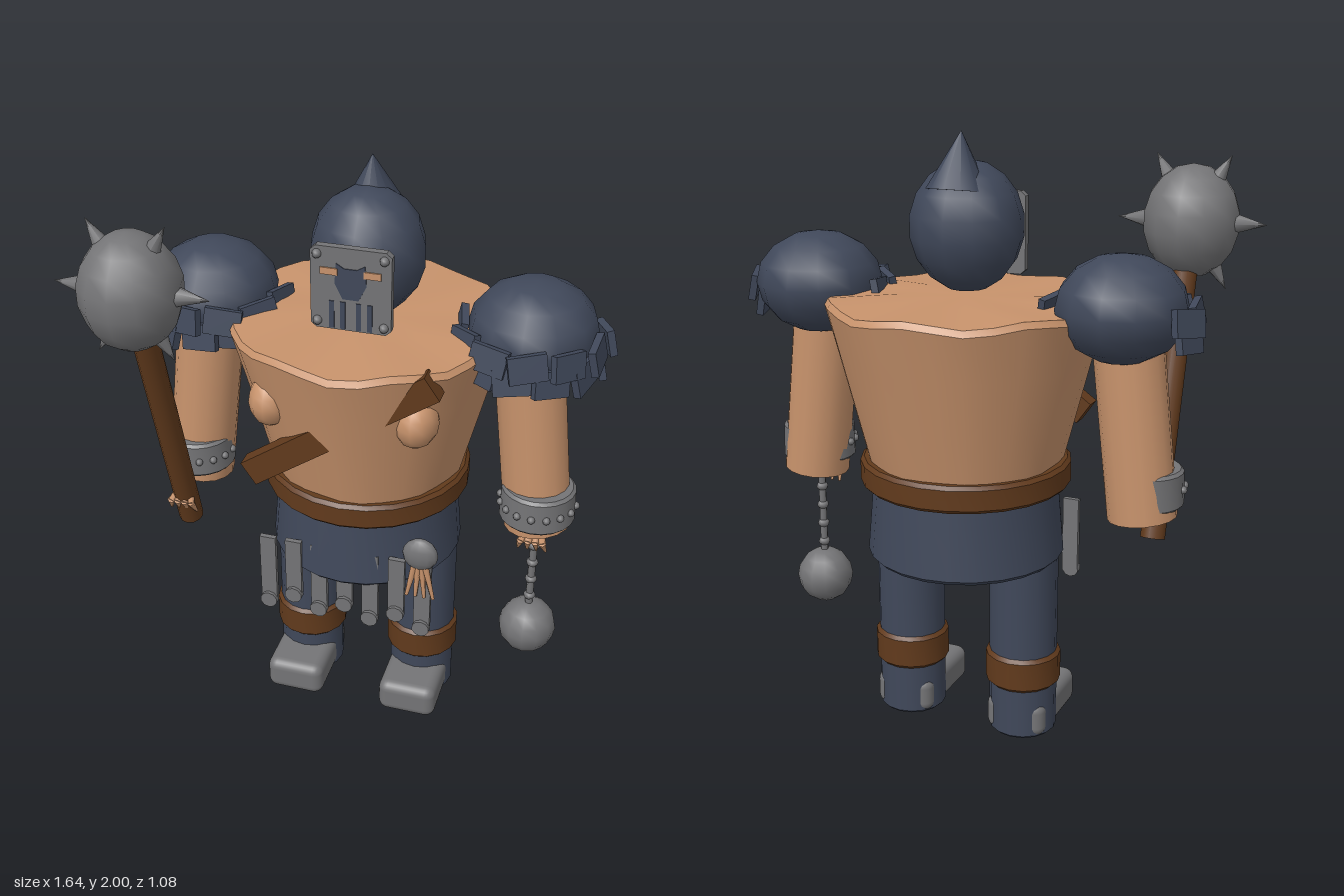
import * as THREE from 'three';
import { toCreasedNormals } from 'three/addons/utils/BufferGeometryUtils.js';
import { RoundedBoxGeometry } from 'three/addons/geometries/RoundedBoxGeometry.js';

const CX = 0.037, CZ = -0.087; // body axis
const mat = (name, color) => {
  const m = new THREE.MeshStandardMaterial({ color });
  m.name = name;
  return m;
};

export function createModel() {
  const skin = mat('skin', 0xc8936c), navy = mat('navy cloth', 0x40485a);
  const steel = mat('steel', 0x747476), leather = mat('leather', 0x613a1c);
  const model = new THREE.Group();
  model.name = 'armouredBrute';

  const add = (name, geo, material, x = 0, y = 0, z = 0, parent = model) => {
    const m = new THREE.Mesh(geo, material);
    m.name = name;
    m.position.set(x, y, z);
    parent.add(m);
    return m;
  };
  const ball = (rx, ry, rz, w = 12, h = 8) => new THREE.SphereGeometry(1, w, h).scale(rx, ry, rz);
  // Tapered rod between two points
  const rod = (name, a, b, r0, r1, material, sides = 12) => {
    const p = new THREE.Vector3(...a), d = new THREE.Vector3(...b).sub(p);
    const m = add(name, new THREE.CylinderGeometry(r1, r0, d.length(), sides), material);
    m.position.copy(p).addScaledVector(d, 0.5);
    m.quaternion.setFromUnitVectors(new THREE.Vector3(0, 1, 0), d.normalize());
    return m;
  };
  // Turned drum with softened edges
  const drum = (r0, r1, h, b, sides = 24) => toCreasedNormals(new THREE.LatheGeometry([
    [0, -h / 2], [r0 - b, -h / 2], [r0, -h / 2 + b], [r1, h / 2 - b], [r1 - b, h / 2], [0, h / 2],
  ].map(p => new THREE.Vector2(...p)), sides), 0.6);

  // Torso: widening trunk with muscular ripples and an uneven rim
  const trunk = new THREE.LatheGeometry([
    [0, 0.92], [0.31, 0.92], [0.355, 1.1], [0.405, 1.3], [0.447, 1.46], [0.435, 1.48], [0.2, 1.485], [0, 1.485],
  ].map(p => new THREE.Vector2(...p)), 30);
  const tp = trunk.attributes.position;
  for (let i = 0; i < tp.count; i++) {
    const x = tp.getX(i), y = tp.getY(i), z = tp.getZ(i), r = Math.hypot(x, z);
    if (r < 0.3) continue;
    const a = Math.atan2(z, x);
    const k = 1 + 0.012 * Math.sin(a * 9 + 1) + 0.01 * Math.cos(a * 5);
    tp.setXYZ(i, x * k, y + (y > 1.4 ? 0.009 * Math.sin(a * 7) : 0), z * k);
  }
  trunk.computeVertexNormals();
  add('torso', toCreasedNormals(trunk, 0.7), skin, CX, 0, CZ);
  for (const s of [-1, 1]) add('chestMuscle', ball(0.072, 0.088, 0.088), skin, CX + s * 0.235, 1.285, 0.2);
  add('chestStrap', new THREE.BoxGeometry(0.72, 0.087, 0.06), leather, 0.04, 1.245, 0.255).rotation.z = 0.605;

  // Belt and hips
  add('belt', drum(0.347, 0.347, 0.09, 0.012), leather, CX, 0.914, CZ);
  add('hips', drum(0.327, 0.305, 0.28, 0.015), navy, CX, 0.76, CZ);

  // Legs, knee bands and boots
  for (const s of [-1, 1]) {
    const x = CX + s * 0.21;
    add('leg', drum(0.114, 0.114, 0.66, 0.01, 16), navy, x, 0.335, CZ);
    add('kneeBand', drum(0.126, 0.126, 0.125, 0.015, 16), leather, x, 0.24, CZ);
    add('boot', new RoundedBoxGeometry(0.207, 0.125, 0.325, 3, 0.035), steel, x, 0.068, -0.012);
  }

  // Hanging skirt plates with round lower ends
  for (let i = 0; i < 7; i++) {
    const x = -0.23 + i * 0.09, low = i % 2 ? 0.52 : 0.48;
    add('skirtPlate', new THREE.BoxGeometry(0.056, 0.74 - low, 0.018), steel, x, (0.74 + low) / 2, 0.2);
    add('plateEnd', new THREE.CylinderGeometry(0.03, 0.03, 0.025, 10).rotateX(Math.PI / 2), steel, x, low, 0.208);
  }
  // Clawed trophy on the hip
  add('trophyDisc', ball(0.06, 0.06, 0.03), steel, 0.3, 0.785, 0.21);
  for (let i = -1; i <= 2; i++)
    rod('trophyClaw', [0.295 + i * 0.012, 0.74, 0.215], [0.29 + i * 0.03, 0.62, 0.222], 0.012, 0.006, skin, 6);

  // Head with backswept crest
  add('helmet', ball(0.185, 0.208, 0.18, 12, 9), navy, CX, 1.703, -0.073);
  rod('crest', [CX, 1.82, -0.14], [CX, 2, -0.112], 0.1, 0, navy, 12);

  // Face plate: pierced sheet with nose opening, eye slits and mouth slots
  const face = new THREE.Group();
  face.name = 'facePlate';
  face.position.set(0.042, 1.66, 0.11);
  model.add(face);
  const poly = (C, pts) => new C(pts.map(p => new THREE.Vector2(...p)));
  const sheet = poly(THREE.Shape, [[-0.11, -0.135], [0.11, -0.135], [0.127, -0.12], [0.127, 0.12],
    [0.11, 0.135], [-0.11, 0.135], [-0.127, 0.12], [-0.127, -0.12]]);
  add('plate', new THREE.ExtrudeGeometry(sheet, { depth: 0.025, bevelEnabled: false }), steel, 0, 0, 0, face);
  const nose = poly(THREE.Shape, [[-0.045, 0.085], [-0.02, 0.07], [0.02, 0.07], [0.045, 0.085],
    [0.05, 0.02], [0.025, -0.03], [-0.025, -0.03], [-0.05, 0.02]]);
  add('noseOpening', new THREE.ExtrudeGeometry(nose, { depth: 0.005, bevelEnabled: false }), navy, 0, 0, 0.023, face);
  for (const s of [-1, 1]) {
    add('eyeSlit', new THREE.BoxGeometry(0.055, 0.022, 0.008), skin, s * 0.068, 0.057, 0.026, face);
    for (const x of [0.025, 0.06])
      add('mouthSlot', new THREE.BoxGeometry(0.016, 0.09, 0.008), navy, s * x, -0.085, 0.024, face);
    for (const y of [-0.11, 0.11]) add('faceRivet', ball(0.015, 0.015, 0.015, 8, 6), steel, s * 0.105, y, 0.028, face);
  }

  // Arms with shoulder armour and studded bracers
  for (const s of [-1, 1]) {
    rod('arm', [CX + s * 0.598, 0.815, -0.047], [CX + s * 0.52, 1.5, -0.05], 0.112, 0.112, skin, 16);
    const sx = CX + s * 0.527;
    add('shoulderPad', ball(0.208, 0.168, 0.208, 12, 8), navy, sx, 1.492, -0.1);
    for (let row = 0; row < 2; row++) for (let i = 0; i < 7; i++) {
      const a = (-12 + i * 32 + row * 12) * Math.PI / 180, r = row ? 0.212 : 0.226;
      const pivot = new THREE.Group();
      pivot.name = 'shoulderScale';
      pivot.position.set(sx + s * Math.cos(a) * r, row ? 1.415 : 1.475, -0.1 + Math.sin(a) * r);
      pivot.rotation.y = Math.atan2(s * Math.cos(a), Math.sin(a)) + 0.25 * s;
      model.add(pivot);
      add('scale', new THREE.BoxGeometry(0.12, 0.085, 0.024), navy, 0, 0, 0, pivot)
        .rotation.set(-0.2, 0, (i % 2 ? 0.12 : -0.12));
    }
    const bx = CX + s * 0.597;
    add('bracer', drum(0.125, 0.122, 0.125, 0.01, 20), steel, bx, 0.914, -0.025);
    for (let i = 0; i < 9; i++) {
      const a = Math.PI * i / 8;
      add('bracerStud', ball(0.013, 0.013, 0.013, 8, 6), steel,
        bx + Math.cos(a) * 0.125, 0.914, -0.025 + Math.sin(a) * 0.125);
    }
    // Fingers gripping the weapon
    const fz = s > 0 ? 0.01 : 0.125;
    for (let i = 0; i < 4; i++) {
      const u = (i - 1.5) * 0.022;
      rod('finger', [bx + u * 0.6, 0.82, fz - 0.015], [bx + u * 1.1, 0.785, fz + 0.035], 0.011, 0.013, skin, 6);
      rod('fingertip', [bx + u * 1.1, 0.79, fz + 0.035], [bx + u * 1.4, 0.742, fz + 0.01], 0.013, 0.004, skin, 6);
    }
  }

  // Spiked mace in the right hand
  const mx = CX - 0.594, my = 1.693, mz = 0.383;
  rod('maceHandle', [mx, 0.69, 0.09], [mx, 1.62, 0.355], 0.042, 0.042, leather);
  add('maceHead', ball(0.16, 0.185, 0.163, 12, 9), steel, mx, my, mz);
  for (let i = 0; i < 6; i++) {
    const c = Math.cos(i * Math.PI / 3), n = Math.sin(i * Math.PI / 3);
    rod('maceSpike', [mx + c * 0.14, my + n * 0.14, mz], [mx + c * 0.25, my + n * 0.25, mz], 0.034, 0, steel, 8);
  }

  // Ball flail in the left hand
  const fx = CX + 0.598;
  rod('flailChain', [fx, 0.47, -0.02], [fx, 0.85, -0.02], 0.013, 0.013, steel, 8);
  for (const y of [0.52, 0.59, 0.66, 0.73])
    add('chainLink', ball(0.021, 0.017, 0.021, 8, 6), steel, fx, y, -0.02);
  add('flailBall', ball(0.099, 0.099, 0.099, 12, 8), steel, fx, 0.392, -0.02);

  return model;
}
